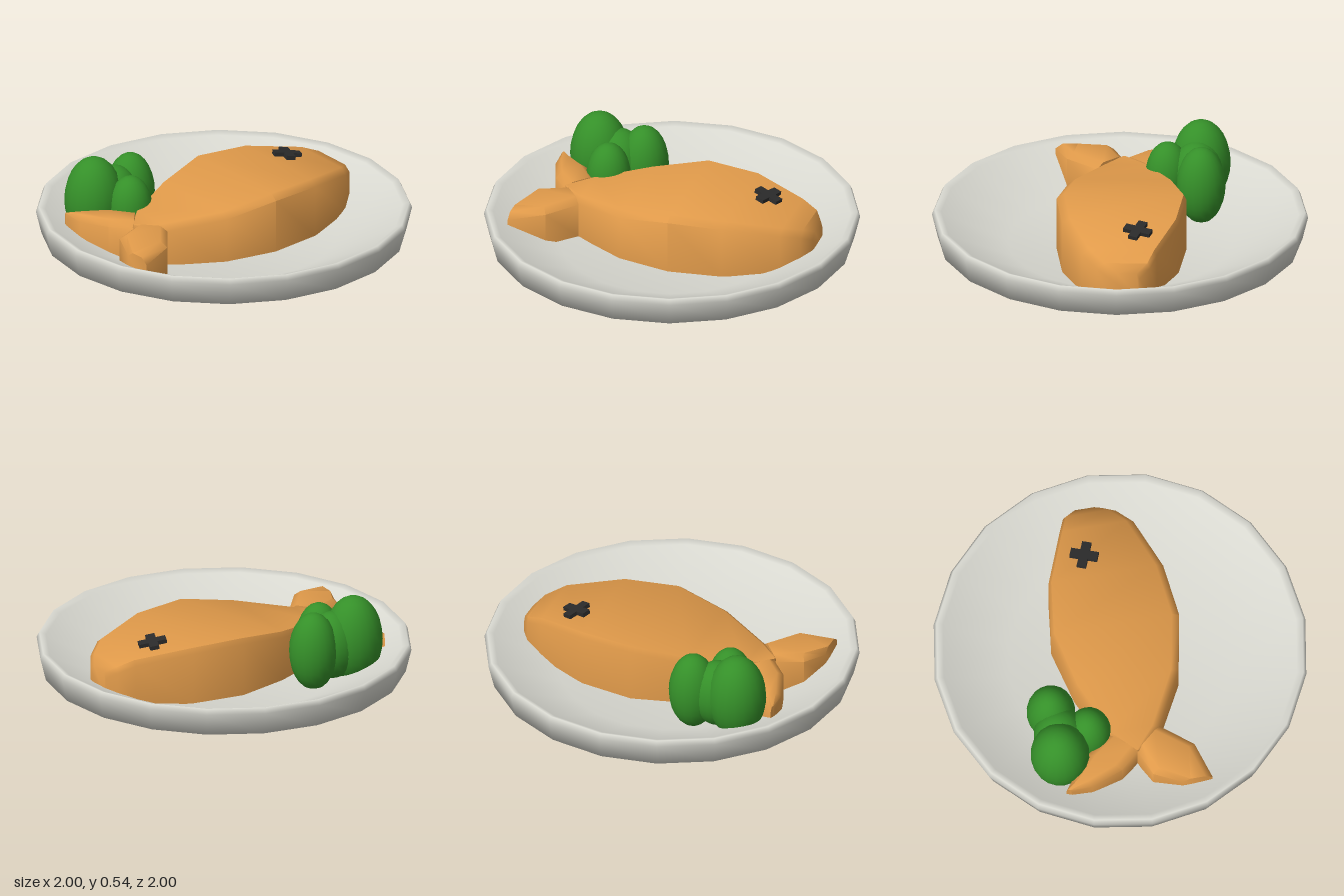
import * as THREE from 'three';
import { toCreasedNormals } from 'three/addons/utils/BufferGeometryUtils.js';

const mat = (color) => new THREE.MeshStandardMaterial({ color });

function addMesh(parent, name, geometry, material) {
  const mesh = new THREE.Mesh(geometry, material);
  mesh.name = name;
  parent.add(mesh);
  return mesh;
}

// Loft through sections [ax, az, bx, bz, top]: upright walls at A and B, a bevel, a flat top.
function loft(sections, insetA, insetB, bevel = 0.03) {
  const pos = [];
  const rings = sections.map(([ax, az, bx, bz, top]) => {
    const len = Math.hypot(bx - ax, bz - az);
    const at = (d, y) => {
      const t = d / len;
      const x = ax + (bx - ax) * t;
      return [x, y ?? 0.07 + 0.08 * x * x, az + (bz - az) * t];
    };
    const a = Math.min(insetA, len * 0.3), b = Math.min(insetB, len * 0.3);
    return [at(0), at(0, top - bevel), at(a, top), at(len - b, top), at(len, top - bevel), at(len)];
  });
  const tri = (...p) => p.forEach((v) => pos.push(...v));
  for (let i = 0; i < rings.length - 1; i++) {
    const r = rings[i], s = rings[i + 1];
    for (let j = 0; j < 6; j++) {
      const k = (j + 1) % 6;
      tri(r[j], r[k], s[k]);
      tri(r[j], s[k], s[j]);
    }
  }
  // end caps
  const first = rings[0], last = rings[rings.length - 1];
  for (let j = 1; j < 5; j++) {
    tri(first[0], first[j + 1], first[j]);
    tri(last[0], last[j], last[j + 1]);
  }
  const g = new THREE.BufferGeometry();
  g.setAttribute('position', new THREE.Float32BufferAttribute(pos, 3));
  return toCreasedNormals(g, 0.95);
}

export function createModel() {
  const model = new THREE.Group();
  model.name = 'fishDinner';

  // Shallow plate
  const profile = [[0, 0], [0.6, 0], [0.97, 0.11], [1, 0.235], [0.985, 0.265], [0.95, 0.25], [0.6, 0.085], [0, 0.08]];
  addMesh(model, 'plate',
    new THREE.LatheGeometry(profile.map(([r, y]) => new THREE.Vector2(r, y)), 20), mat(0xd8d8d0));

  // Fish: body plus two tail lobes
  const fish = new THREE.Group();
  fish.name = 'fish';
  model.add(fish);
  const orange = mat(0xe09a4a);
  const body = [
    [-0.6, -0.02, 0, 0.305], [-0.48, -0.15, 0.13, 0.31], [-0.2, -0.28, 0.28, 0.355],
    [0.09, -0.355, 0.335, 0.405], [0.38, -0.32, 0.3, 0.397], [0.67, -0.21, 0.19, 0.35],
    [0.76, -0.175, 0.11, 0.315], [0.803, -0.12, 0.04, 0.275],
  ].map(([x, back, front, top]) => [x, back, x, front, top]);
  addMesh(fish, 'fishBody', loft(body, 0.015, 0.04), orange);

  const frontLobe = [
    [-0.48, 0.13, -0.6, -0.01, 0.31], [-0.61, 0.295, -0.74, 0.05, 0.31], [-0.8, 0.36, -0.8, 0.2, 0.28],
  ];
  addMesh(fish, 'tailFrontLobe', loft(frontLobe, 0.04, 0.04), orange);
  const backLobe = [
    [-0.6, -0.01, -0.48, -0.15, 0.31], [-0.69, -0.11, -0.57, -0.27, 0.31],
    [-0.75, -0.28, -0.67, -0.36, 0.295], [-0.755, -0.39, -0.745, -0.42, 0.275],
  ];
  addMesh(fish, 'tailBackLobe', loft(backLobe, 0.04, 0.04), orange);

  // Crossed eye lying on the sloping head
  const eye = new THREE.Group();
  eye.name = 'eye';
  eye.position.set(0.505, 0.384, -0.105);
  eye.rotation.z = -0.18;
  fish.add(eye);
  const black = mat(0x2b2b2b);
  for (let i = 0; i < 2; i++) {
    const bar = addMesh(eye, 'eyeBar', new THREE.BoxGeometry(0.15, 0.03, 0.05), black);
    bar.rotation.y = -0.37 + i * Math.PI / 2;
  }

  // Broccoli: overlapping rounded florets [x, y, z, radius, half height]
  const broccoli = new THREE.Group();
  broccoli.name = 'broccoli';
  model.add(broccoli);
  const green = mat(0x359029);
  [
    [-0.55, 0.3, -0.42, 0.157, 0.238],
    [-0.3, 0.28, -0.425, 0.13, 0.215],
    [-0.44, 0.28, -0.245, 0.118, 0.18],
    [-0.43, 0.28, -0.4, 0.14, 0.185],
  ].forEach(([x, y, z, r, h]) => {
    const floret = addMesh(broccoli, 'floret', new THREE.SphereGeometry(1, 20, 14), green);
    floret.position.set(x, y, z);
    floret.scale.set(r, h, r);
  });

  return model;
}
